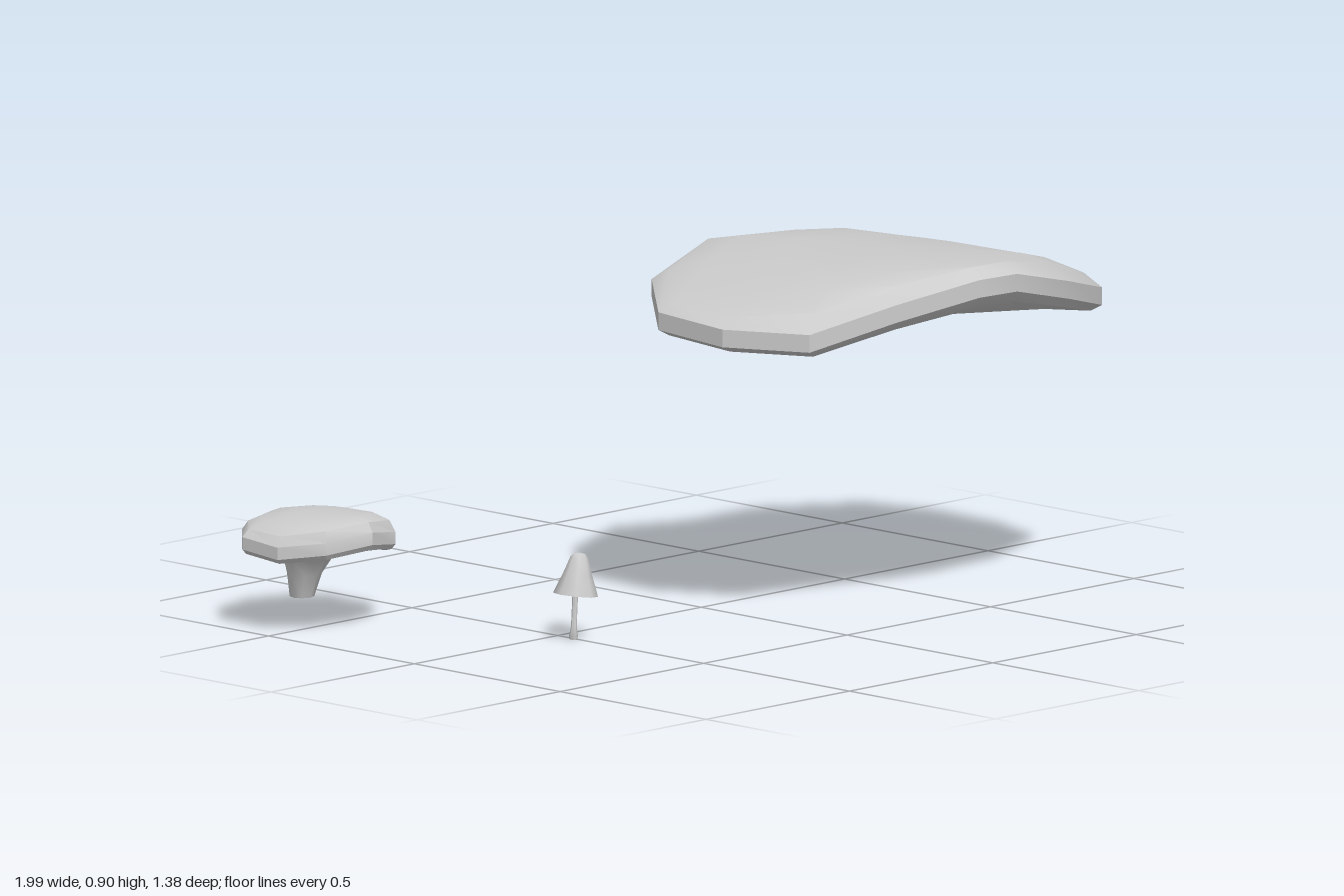
import * as THREE from 'three';
import { toCreasedNormals } from 'three/addons/utils/BufferGeometryUtils.js';

const material = new THREE.MeshStandardMaterial({ color: 0xcccccc });

function part(name, geometry, crease = 0.5) {
  const mesh = new THREE.Mesh(toCreasedNormals(geometry, crease), material);
  mesh.name = name;
  return mesh;
}

// Skin over rings of [x, y, z] points, listed from the bottom up, clockwise from above
function loft(rings) {
  const n = rings[0].length, index = [];
  for (let i = 0; i < rings.length - 1; i++) {
    for (let j = 0; j < n; j++) {
      const k = (j + 1) % n;
      const a = i * n + j, b = i * n + k, c = b + n, d = a + n;
      index.push(a, d, c, a, c, b);
    }
  }
  const geometry = new THREE.BufferGeometry();
  geometry.setAttribute('position', new THREE.Float32BufferAttribute(rings.flat(2), 3));
  geometry.setIndex(index);
  return geometry;
}

// Arched cap: rim holds [x, z, height]; top(x, z) is the upper surface, base the middle of the underside
function capGeometry(rim, [cx, cz], top, base, lip) {
  const ring = (s, height) => rim.map(([x, z, y]) => {
    const px = cx + (x - cx) * s, pz = cz + (z - cz) * s;
    return [px, height(px, pz, y), pz];
  });
  const under = (s) => ring(s, (x, z, y) => THREE.MathUtils.lerp(base, y - lip, s * s));
  const upper = (s, w) => ring(s, (x, z, y) => THREE.MathUtils.lerp(y + lip, top(x, z), w));
  return loft([
    under(0), under(0.4), under(0.75), under(0.95),
    ring(1, (x, z, y) => y - lip * 0.6),
    ring(1, (x, z, y) => y + lip * 0.5),
    upper(0.92, 0.55), upper(0.75, 0.95), upper(0.4, 1), upper(0, 1),
  ]);
}

export function createModel() {
  const model = new THREE.Group();
  model.name = 'mushrooms';

  // Large cap, higher at the front and drooping at both sides
  const largeRim = [
    [0.24, -0.26, 0.8], [0.44, -0.2, 0.79], [0.67, -0.2, 0.78], [0.92, -0.09, 0.74],
    [0.98, 0.08, 0.72], [0.99, 0.28, 0.69], [0.93, 0.46, 0.71], [0.64, 0.63, 0.79],
    [0.4, 0.69, 0.85], [0.28, 0.68, 0.85], [0.09, 0.58, 0.8], [-0.11, 0.48, 0.74],
    [-0.21, 0.28, 0.74], [-0.2, 0.05, 0.75], [-0.02, -0.15, 0.78],
  ];
  const largeTop = (x, z) => 0.9 - 0.37 * (x - 0.35) ** 2 - 0.04 * (0.6 - z);
  model.add(part('largeCap', capGeometry(largeRim, [0.37, 0.22], largeTop, 0.71, 0.04)));

  // Middle mushroom: arched cap on a short flared stem
  const middle = new THREE.Group();
  middle.name = 'middleMushroom';
  const middleRim = [
    [-0.81, -0.69, 0.225], [-0.69, -0.66, 0.22], [-0.61, -0.59, 0.21], [-0.61, -0.47, 0.19],
    [-0.69, -0.37, 0.22], [-0.81, -0.33, 0.24], [-0.93, -0.37, 0.225], [-1, -0.47, 0.21],
    [-1, -0.59, 0.22], [-0.93, -0.66, 0.22],
  ];
  const middleTop = (x, z) => 0.287 - 0.9 * (x + 0.81) ** 2 - 0.6 * Math.max(0, -0.5 - z) ** 2;
  middle.add(part('middleCap', capGeometry(middleRim, [-0.81, -0.51], middleTop, 0.185, 0.028)));

  // Stem sections: [height, radius, z]
  const stemRings = [[0.06, 0, -0.582], [0.06, 0.03, -0.582], [0.12, 0.043, -0.573],
    [0.165, 0.062, -0.56], [0.2, 0.09, -0.545]].map(([y, r, z]) =>
    Array.from({ length: 8 }, (_, j) => {
      const a = j / 8 * Math.PI * 2;
      return [-0.8 + r * Math.sin(a), y, z - r * Math.cos(a)];
    }));
  middle.add(part('middleStem', loft(stemRings), 0.9));
  model.add(middle);

  // Small mushroom: leaning bell cap on a thin stem with a swollen foot
  const small = new THREE.Group();
  small.name = 'smallMushroom';
  const profile = (points, sides) =>
    new THREE.LatheGeometry(points.map(([r, y]) => new THREE.Vector2(r, y)), sides);
  const stem = part('smallStem', profile([[0, 0], [0.009, 0.002], [0.011, 0.01], [0.007, 0.035],
    [0.007, 0.125]], 8), 0.9);
  const cap = part('smallCap', profile([[0, 0.012], [0.04, 0.004], [0.055, 0], [0.052, 0.01],
    [0.036, 0.05], [0.022, 0.092], [0.014, 0.102], [0, 0.104]], 8), 0.9);
  stem.rotation.z = -0.06;
  cap.position.set(0.008, 0.112, 0);
  cap.rotation.z = -0.14;
  small.add(stem, cap);
  small.position.set(-0.515, 0, 0.068);
  model.add(small);

  return model;
}
